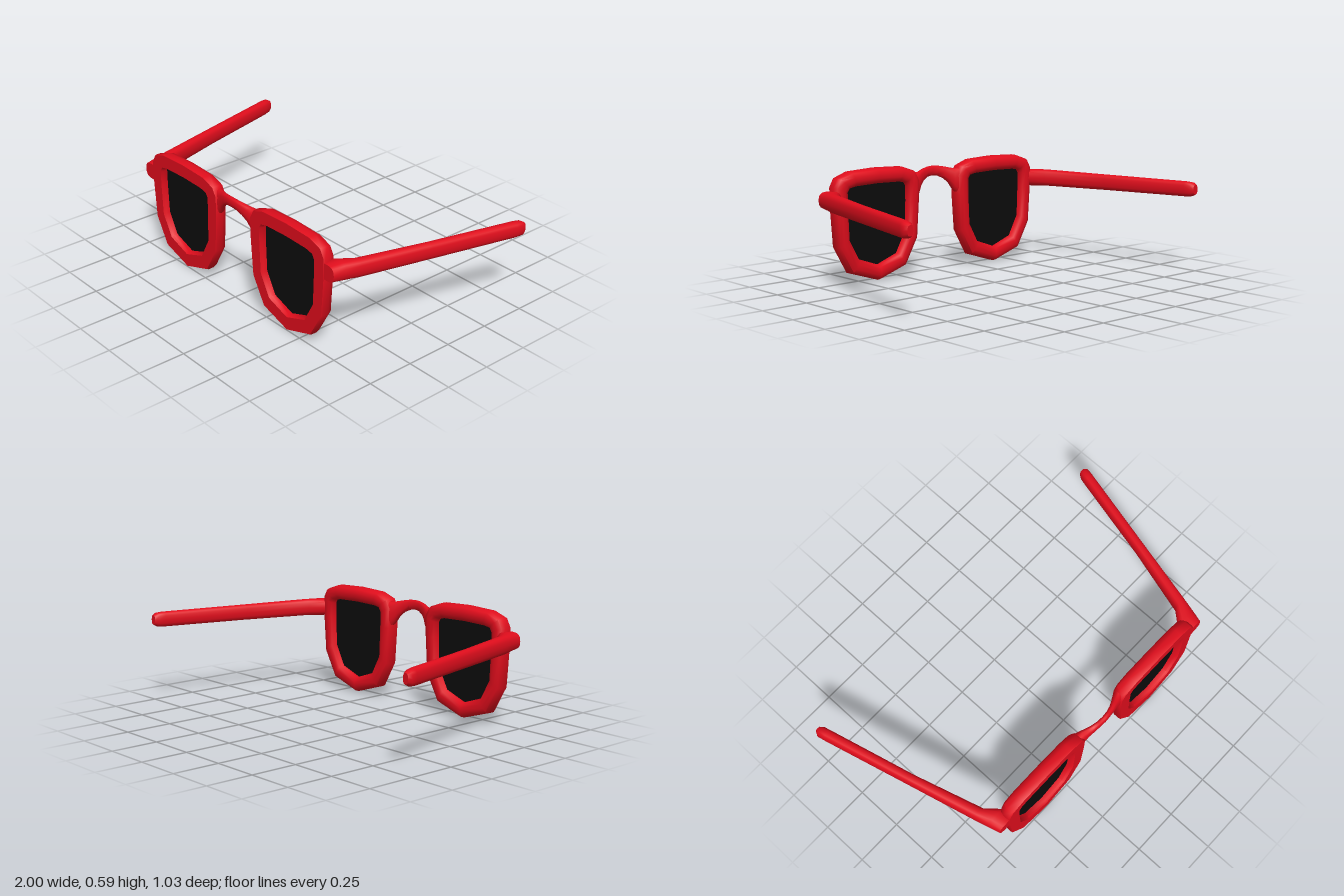
import * as THREE from 'three';
import { toCreasedNormals } from 'three/addons/utils/BufferGeometryUtils.js';

const red = new THREE.MeshStandardMaterial({ color: 0xe00d1c });
const black = new THREE.MeshStandardMaterial({ color: 0x0c0c0c, side: THREE.DoubleSide });

// Skin a list of rings of [x, y, z]; either a closed loop or capped at both ends.
function loft(rings, closed, crease) {
  const n = rings[0].length, m = rings.length;
  const pos = rings.flat(2), idx = [];
  for (let i = 0; i < (closed ? m : m - 1); i++) {
    for (let j = 0; j < n; j++) {
      const k = (j + 1) % n, next = ((i + 1) % m) * n;
      const a = i * n + j, b = i * n + k, c = next + k, d = next + j;
      idx.push(a, b, c, a, c, d);
    }
  }
  if (!closed) {
    for (const [i, start] of [[0, true], [m - 1, false]]) {
      const centre = pos.length / 3;
      for (let q = 0; q < 3; q++) pos.push(rings[i].reduce((s, p) => s + p[q], 0) / n);
      for (let j = 0; j < n; j++) {
        const a = i * n + j, b = i * n + (j + 1) % n;
        if (start) idx.push(b, a, centre);
        else idx.push(a, b, centre);
      }
    }
  }
  // Turn the faces outward if the enclosed volume comes out negative
  const v = (i) => new THREE.Vector3().fromArray(pos, i * 3);
  let volume = 0;
  for (let t = 0; t < idx.length; t += 3) volume += v(idx[t]).dot(v(idx[t + 1]).cross(v(idx[t + 2])));
  if (volume < 0) idx.reverse();
  const geo = new THREE.BufferGeometry();
  geo.setAttribute('position', new THREE.Float32BufferAttribute(pos, 3));
  geo.setIndex(idx);
  return toCreasedNormals(geo, crease);
}

// Rounded-box cross-section, as [u, v] in -1..1
function roundSection(sides, power) {
  return Array.from({ length: sides }, (_, i) => {
    const t = (i / sides) * Math.PI * 2, c = Math.cos(t), s = Math.sin(t);
    return [Math.sign(c) * Math.abs(c) ** power, Math.sign(s) * Math.abs(s) ** power];
  });
}

function addMesh(group, name, geo, material) {
  const mesh = new THREE.Mesh(geo, material);
  mesh.name = name;
  group.add(mesh);
}

// Half outlines from top centre to bottom centre, x measured from the lens centre
const outerHalf = [[0, 0.59], [0.17, 0.583], [0.247, 0.556], [0.272, 0.51], [0.27, 0.4], [0.255, 0.2], [0.175, 0.06], [0, 0.004]];
const innerHalf = [[0, 0.512], [0.14, 0.508], [0.18, 0.5], [0.193, 0.48], [0.193, 0.4], [0.187, 0.24], [0.127, 0.13], [0, 0.085]];
const fullOutline = (half) => [...half, ...half.slice(1, -1).reverse().map(([x, y]) => [-x, y])];

// Rim section: [0 outer .. 1 inner, z], flat in front and rounded behind
const rimSection = [[0.04, 0.5], [0.9, 0.5], [1, 0.488], [1, 0.45], [0.88, 0.434], [0.65, 0.427], [0.35, 0.427], [0.1, 0.437], [0, 0.46], [0, 0.493]];

function rimGeometry(cx) {
  const inner = fullOutline(innerHalf);
  const rings = fullOutline(outerHalf).map(([ox, oy], i) => rimSection.map(([t, z]) => [
    cx + ox + (inner[i][0] - ox) * t, oy + (inner[i][1] - oy) * t, z]));
  return loft(rings, true, 0.9);
}

function lensGeometry(cx) {
  // Slightly enlarged so its edge is buried in the rim
  const pts = fullOutline(innerHalf).map(([x, y]) => new THREE.Vector2(x * 1.05, 0.3 + (y - 0.3) * 1.05));
  return new THREE.ShapeGeometry(new THREE.Shape(pts)).translate(cx, 0, 0.465);
}

// Temple stations from hinge to tip: [z, inner x, outer x, half height]
const templeStations = [
  [0.498, 0.64, 0.742, 0.043], [0.435, 0.645, 0.76, 0.047], [0.36, 0.711, 0.779, 0.046],
  [0, 0.817, 0.871, 0.043], [-0.46, 0.933, 0.99, 0.041], [-0.495, 0.942, 0.998, 0.037], [-0.514, 0.955, 0.988, 0.026],
];

function templeGeometry(side) {
  const section = roundSection(16, 0.75);
  const rings = templeStations.map(([z, xi, xo, h]) => section.map(([u, v]) => [
    side * ((xi + xo) / 2 + u * (xo - xi) / 2), 0.448 + v * h, z]));
  return loft(rings, false, 0.9);
}

// Bridge stations from the centre outward: [x, bottom y, top y, back z, front z]
const bridgeStations = [
  [0, 0.513, 0.565, 0.487, 0.514], [0.035, 0.508, 0.563, 0.484, 0.511], [0.07, 0.492, 0.557, 0.474, 0.506],
  [0.1, 0.465, 0.55, 0.46, 0.499], [0.122, 0.43, 0.545, 0.447, 0.495], [0.15, 0.395, 0.545, 0.435, 0.493],
];

function bridgeGeometry() {
  const section = roundSection(12, 0.8);
  const mirrored = bridgeStations.slice(1).reverse().map(([x, ...rest]) => [-x, ...rest]);
  const rings = [...mirrored, ...bridgeStations].map(([x, y0, y1, z0, z1]) => section.map(([u, v]) => [
    x, (y0 + y1) / 2 + v * (y1 - y0) / 2, (z0 + z1) / 2 + u * (z1 - z0) / 2]));
  return loft(rings, false, 1.1);
}

export function createModel() {
  const model = new THREE.Group();
  model.name = 'sunglasses';
  for (const [label, side] of [['left', 1], ['right', -1]]) {
    addMesh(model, label + 'Rim', rimGeometry(side * 0.405), red);
    addMesh(model, label + 'Lens', lensGeometry(side * 0.405), black);
    addMesh(model, label + 'Temple', templeGeometry(side), red);
  }
  addMesh(model, 'bridge', bridgeGeometry(), red);
  return model;
}
